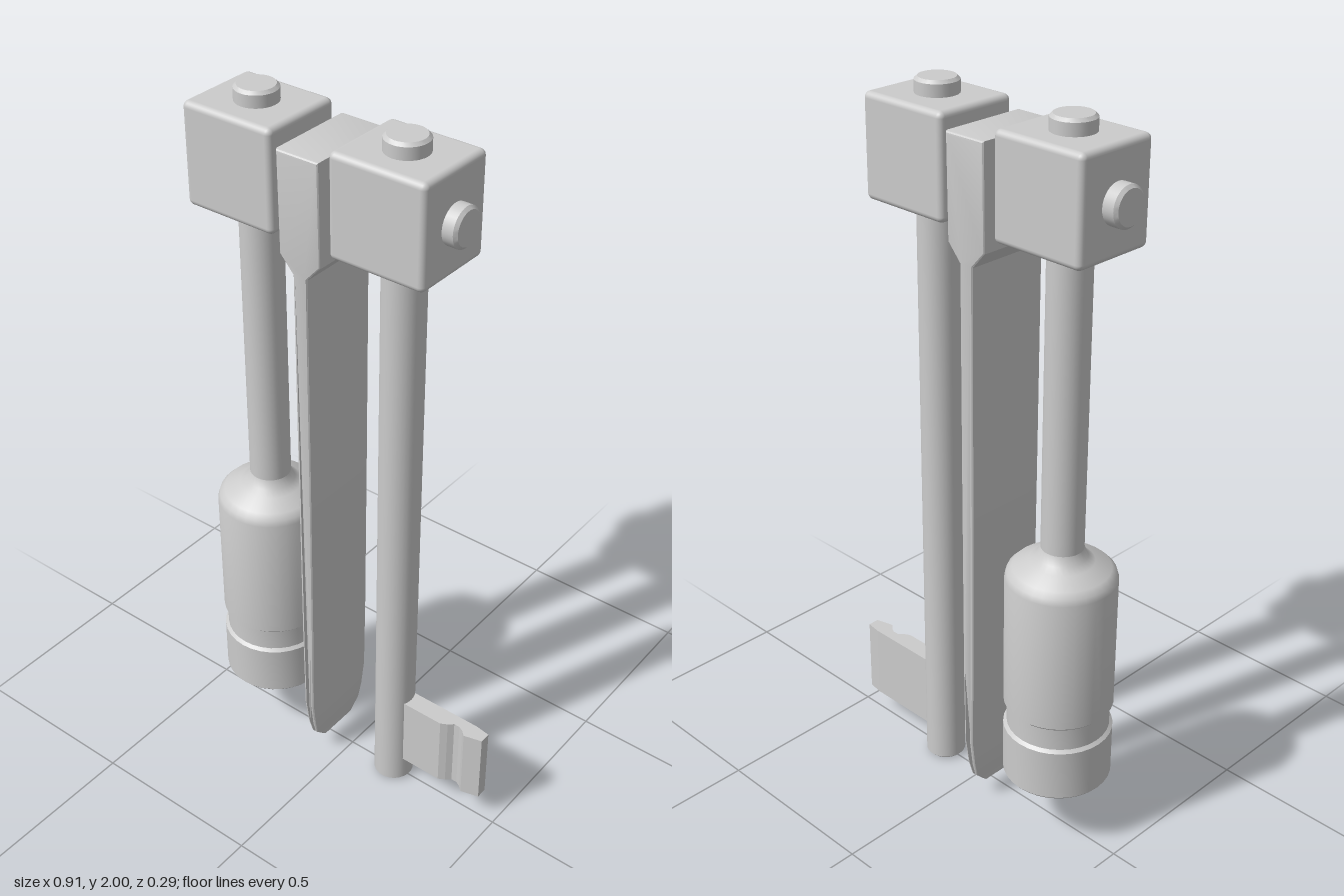
import * as THREE from 'three';
import { toCreasedNormals } from 'three/addons/utils/BufferGeometryUtils.js';
import { RoundedBoxGeometry } from 'three/addons/geometries/RoundedBoxGeometry.js';

const material = new THREE.MeshStandardMaterial({ color: 0xcccccc });

function add(parent, name, geometry, x = 0, y = 0, z = 0) {
  const mesh = new THREE.Mesh(geometry, material);
  mesh.name = name;
  mesh.position.set(x, y, z);
  parent.add(mesh);
  return mesh;
}

// Turned solid from [radius, height] pairs, with crisp edges.
function turned(points, sides) {
  const profile = points.map(([r, y]) => new THREE.Vector2(r, y));
  return toCreasedNormals(new THREE.LatheGeometry(profile, sides), 0.6);
}

// Round bar from y0 to y1 with softened ends.
function bar(r, y0, y1) {
  const c = 0.008;
  return turned([[0, y0], [r - c, y0], [r, y0 + c], [r, y1 - c], [r - c, y1], [0, y1]], 32);
}

// Piecewise linear lookup in [key, value] pairs.
function lookup(table, k) {
  for (let i = 1; i < table.length; i++) {
    const [k0, v0] = table[i - 1], [k1, v1] = table[i];
    if (k <= k1) return v0 + (v1 - v0) * Math.max(0, (k - k0) / (k1 - k0));
  }
  return table[table.length - 1][1];
}

// Blade: thin front outline pushed through the depth, narrowed towards a rounded tip.
function bladeGeometry() {
  const bevel = 0.008;
  const half = [[0.002, 0.058], [0.004, 0.085], [0.006, 0.13], [0.008, 0.21], [0.011, 0.45],
    [0.013, 1.0], [0.014, 1.615], [0.054, 1.66], [0.054, 1.918]];
  const outline = [...half, ...half.map(([x, y]) => [-x, y]).reverse()];
  const shape = new THREE.Shape(outline.map(([x, y]) => new THREE.Vector2(x, y)));
  const geometry = new THREE.ExtrudeGeometry(shape, {
    depth: 0.25 - 2 * bevel, bevelThickness: bevel, bevelSize: bevel, bevelSegments: 3,
  });
  geometry.translate(0, 0, -0.125 + bevel);
  const width = [[0.05, 0.5], [0.085, 0.78], [0.13, 0.88], [0.21, 0.97], [1.615, 0.97], [1.66, 0.97], [1.918, 1]];
  const p = geometry.attributes.position;
  for (let i = 0; i < p.count; i++) p.setZ(i, p.getZ(i) * lookup(width, p.getY(i)));
  return toCreasedNormals(geometry, 0.5);
}

// Key bit: grooved plan profile raised along y.
function bitGeometry() {
  const plan = [[0.16, 0.025], [0.325, 0.025], [0.343, 0.015], [0.357, 0.003], [0.374, 0.003],
    [0.388, 0.01], [0.402, 0.023], [0.453, 0.01], [0.453, -0.022], [0.41, -0.028], [0.16, -0.028]];
  const shape = new THREE.Shape(plan.map(([x, z]) => new THREE.Vector2(x, -z)));
  const geometry = new THREE.ExtrudeGeometry(shape, { depth: 0.22, bevelEnabled: false });
  geometry.rotateX(-Math.PI / 2);
  return geometry;
}

export function createModel() {
  const model = new THREE.Group();
  model.name = 'hangingTools';
  const socketX = -0.285, keyX = 0.152, pinY = 1.823;

  // Hinge blocks and the pin through them
  for (const [name, x] of [['socketBlock', socketX], ['keyBlock', keyX]]) {
    add(model, name, new RoundedBoxGeometry(0.27, 0.27, 0.236, 3, 0.016), x, 1.825, -0.002);
  }
  add(model, 'hingePin', bar(0.052, -0.325, 0.46), 0, pinY, 0).rotation.z = Math.PI / 2;

  // Blade in the middle
  add(model, 'blade', bladeGeometry(), -0.066, 0, -0.002);

  // Key with its bit
  const key = new THREE.Group();
  key.name = 'key';
  add(key, 'keyShaft', bar(0.056, 0.003, 2), keyX);
  add(key, 'keyBit', bitGeometry(), 0, 0.085, 0);
  model.add(key);

  // Socket driver: shaft, grooved sleeve and square recess underneath
  const socket = new THREE.Group();
  socket.name = 'socketDriver';
  add(socket, 'socketShaft', bar(0.056, 0.7, 2), socketX);
  add(socket, 'socketSleeve', turned([
    [0.142, 0.186], [0.147, 0.192], [0.147, 0.337], [0.138, 0.345], [0.138, 0.408], [0.147, 0.417],
    [0.147, 0.795], [0.142, 0.812], [0.128, 0.826], [0.085, 0.846], [0.066, 0.86], [0.056, 0.885],
  ], 32), socketX);

  const a = 0.095;
  const rim = new THREE.Shape().absarc(0, 0, 0.142, 0, Math.PI * 2);
  rim.holes.push(new THREE.Path([[-a, -a], [-a, a], [a, a], [a, -a]].map(([x, y]) => new THREE.Vector2(x, y))));
  const base = new THREE.ExtrudeGeometry(rim, { depth: 0.14, bevelEnabled: false, curveSegments: 32 });
  base.rotateX(-Math.PI / 2);
  add(socket, 'socketBase', base, socketX, 0.186, 0);
  // the wall of the base stays inside the sleeve except at the groove
  socket.children[2].scale.set(0.97, 1, 0.97);
  add(socket, 'socketRim', new THREE.RingGeometry(0.135, 0.142, 32).rotateX(Math.PI / 2), socketX, 0.186, 0);
  add(socket, 'recessFloor', new THREE.BoxGeometry(2 * a, 0.02, 2 * a), socketX, 0.33, 0);
  model.add(socket);

  return model;
}
